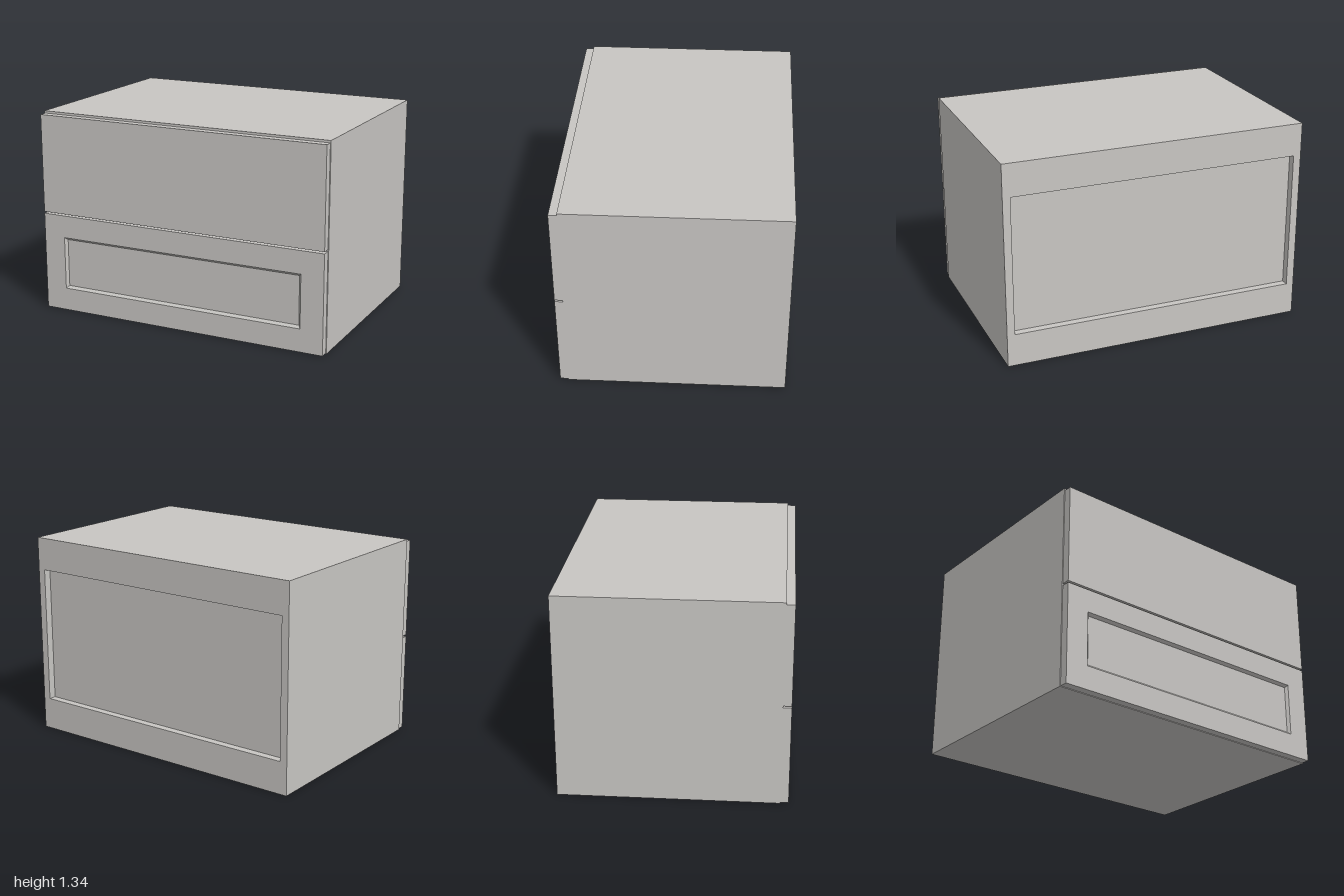
import * as THREE from 'three';

const HEIGHT = 1.335, BACK = -0.725, FRONT = 0.672, FACE = 0.725, T = 0.05;

// Closed solid through successive rectangles [halfWidth, yBottom, yTop, z], from back to front
function rectLoft(rects) {
  const loops = rects.map(([w, y0, y1, z]) => [[-w, y0, z], [w, y0, z], [w, y1, z], [-w, y1, z]]);
  const pos = [];
  const quad = (a, b, c, d) => pos.push(...a, ...b, ...c, ...a, ...c, ...d);
  for (let k = 0; k < loops.length - 1; k++) {
    const a = loops[k], b = loops[k + 1];
    for (let i = 0; i < 4; i++) {
      const j = (i + 1) % 4;
      quad(a[i], a[j], b[j], b[i]);
    }
  }
  const first = loops[0], last = loops[loops.length - 1];
  quad(first[3], first[2], first[1], first[0]);
  quad(...last);
  const geo = new THREE.BufferGeometry();
  geo.setAttribute('position', new THREE.Float32BufferAttribute(pos, 3));
  geo.computeVertexNormals();
  return geo;
}

export function createModel() {
  const model = new THREE.Group();
  model.name = 'drawerCabinet';
  const paint = new THREE.MeshStandardMaterial({ color: 0xc8c6c3 });
  paint.name = 'paleGrey';

  const add = (name, geo) => {
    const mesh = new THREE.Mesh(geo, paint);
    mesh.name = name;
    model.add(mesh);
    return mesh;
  };
  // Board given by its extents on each axis
  const board = (name, x0, x1, y0, y1, z0, z1) =>
    add(name, new THREE.BoxGeometry(x1 - x0, y1 - y0, z1 - z0))
      .position.set((x0 + x1) / 2, (y0 + y1) / 2, (z0 + z1) / 2);

  // Carcass
  const inner = 1 - T;
  board('rightSide', -1, -inner, 0, HEIGHT, BACK, FRONT);
  board('leftSide', inner, 1, 0, HEIGHT, BACK, FRONT);
  board('bottomPanel', -inner, inner, 0, T, BACK, FRONT);
  board('topPanel', -inner, inner, HEIGHT - T, HEIGHT, BACK, FRONT);

  // Back: a recessed panel between two rails
  board('lowerBackRail', -inner, inner, T, 0.213, BACK, BACK + T);
  board('upperBackRail', -inner, inner, 1.12, HEIGHT - T, BACK, BACK + T);
  board('backPanel', -inner, inner, T, HEIGHT - T, BACK + T, BACK + T + 0.02);

  // Rail behind the gap between the drawers
  board('middleRail', -inner, inner, 0.58, 0.745, FRONT - T, FRONT);

  // Upper drawer: plain slab
  board('upperDrawerFront', -0.995, 0.995, 0.668, 1.32, FRONT, FACE);

  // Lower drawer: slab with a bevelled sunken panel
  add('lowerDrawerFront', rectLoft([
    [0.995, 0.004, 0.656, FRONT],
    [0.995, 0.004, 0.656, FACE],
    [0.845, 0.155, 0.507, FACE],
    [0.829, 0.171, 0.491, FACE - 0.018],
  ]));

  return model;
}
